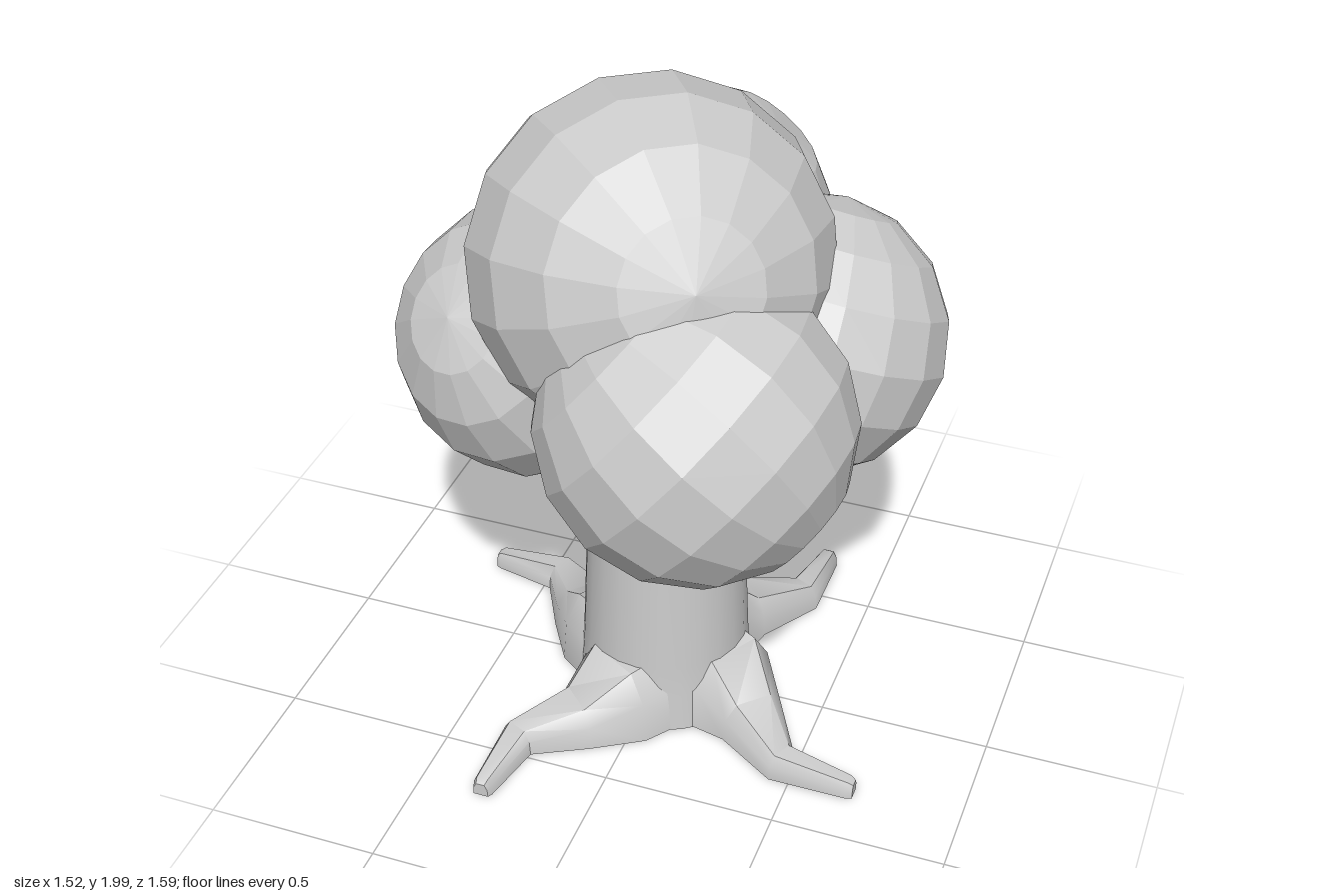
import * as THREE from 'three';
import { toCreasedNormals } from 'three/addons/utils/BufferGeometryUtils.js';

const bark = new THREE.MeshStandardMaterial({ color: 0xcccccc, side: THREE.DoubleSide });
const leaf = new THREE.MeshStandardMaterial({ color: 0xcccccc, flatShading: true });

// Root: arched cross-sections [x, z, width, height] lofted along a bent path, open underneath
function rootGeometry() {
  const stations = [
    [-0.03, 0.1, 0.40, 0.22],
    [-0.08, 0.24, 0.30, 0.215],
    [-0.16, 0.33, 0.20, 0.115],
    [-0.295, 0.46, 0.11, 0.075],
    [-0.315, 0.67, 0.06, 0.05],
    [-0.315, 0.685, 0.045, 0.04],
  ];
  const arch = [[-0.5, 0], [-0.46, 0.6], [-0.28, 1], [0.28, 1], [0.46, 0.6], [0.5, 0]];
  const n = arch.length, pos = [], idx = [];
  stations.forEach(([x, z, w, h], i) => {
    const a = stations[Math.max(i - 1, 0)], b = stations[Math.min(i + 1, stations.length - 1)];
    const len = Math.hypot(b[0] - a[0], b[1] - a[1]);
    const dx = (b[0] - a[0]) / len, dz = (b[1] - a[1]) / len;
    for (const [u, v] of arch) pos.push(x + dz * u * w, v * h, z - dx * u * w);
  });
  for (let i = 0; i < stations.length - 1; i++) {
    for (let j = 0; j < n - 1; j++) {
      const p = i * n + j;
      idx.push(p, p + n, p + 1, p + 1, p + n, p + n + 1);
    }
  }
  const last = (stations.length - 1) * n;
  for (let j = 1; j < n - 1; j++) idx.push(last, last + j + 1, last + j);
  const g = new THREE.BufferGeometry();
  g.setAttribute('position', new THREE.Float32BufferAttribute(pos, 3));
  g.setIndex(idx);
  return toCreasedNormals(g, 0.8);
}

export function createModel() {
  const tree = new THREE.Group();
  tree.name = 'tree';

  // Tapered hollow trunk with a slight flare at the ground
  const profile = [[0.262, 0], [0.252, 0.12], [0.245, 0.22], [0.22, 0.85], [0.205, 1.3]];
  const trunk = new THREE.Mesh(
    new THREE.LatheGeometry(profile.map(([r, y]) => new THREE.Vector2(r, y)), 24), bark);
  trunk.name = 'trunk';
  trunk.position.set(0.006, 0, 0.006);
  tree.add(trunk);

  // Four roots, each a quarter turn apart
  const rootGeo = rootGeometry();
  for (let i = 0; i < 4; i++) {
    const root = new THREE.Mesh(rootGeo, bark);
    root.name = 'root' + (i + 1);
    root.rotation.y = i * Math.PI / 2;
    root.position.set(0.004, 0, 0.002);
    tree.add(root);
  }

  // Faceted foliage balls: name, centre, radius, direction of the pole
  const balls = [
    ['topFoliage', [-0.01, 1.5, 0.08], 0.503, [0.26, 0.17, 0.39]],
    ['frontFoliage', [0.215, 1.205, 0.362], 0.432, [0.33, -0.27, 0]],
    ['leftFoliage', [0.37, 1.222, -0.13], 0.392, [0.05, 0.35, -0.17]],
    ['rightFoliage', [-0.37, 1.153, 0.04], 0.394, [-0.11, 0.2, 0.28]],
    ['backFoliage', [-0.07, 1.335, -0.37], 0.428, [0.24, 0.34, -0.07]],
  ];
  const up = new THREE.Vector3(0, 1, 0);
  for (const [name, centre, radius, pole] of balls) {
    const ball = new THREE.Mesh(new THREE.SphereGeometry(radius, 16, 8), leaf);
    ball.name = name;
    ball.position.set(...centre);
    ball.quaternion.setFromUnitVectors(up, new THREE.Vector3(...pole).normalize());
    tree.add(ball);
  }
  return tree;
}
